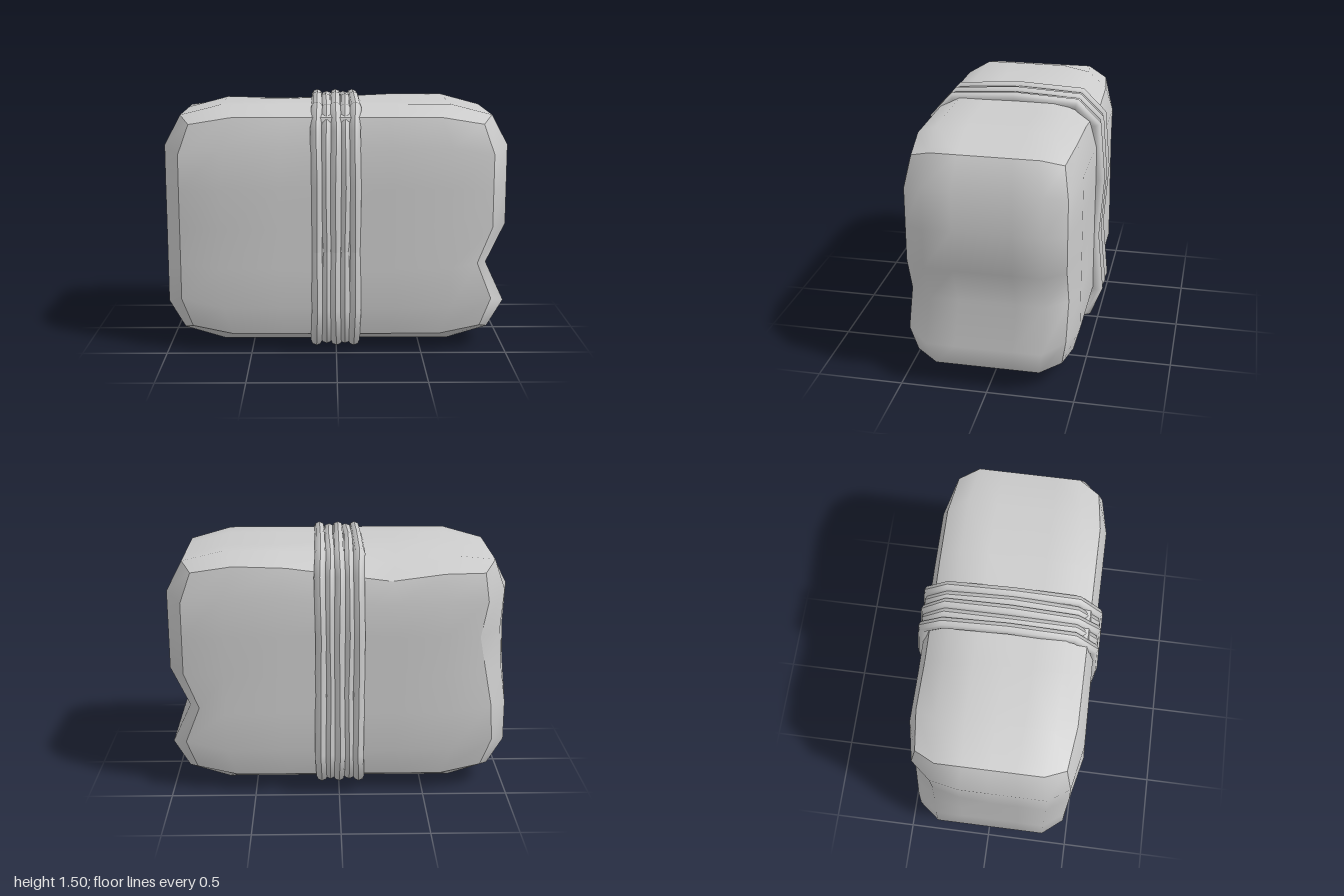
import * as THREE from 'three';

const HALF = [1, 0.705, 0.495];
const CENTRE = [0, 0.755, 0.015];

// Local pushes: centre in unit-cube coordinates, reach, and offset
const DENTS = [
  { at: [-1, 0.33, -1], reach: 0.75, push: [0.09, 0, 0] },
  { at: [-0.33, 1, -1], reach: 0.75, push: [0, -0.09, 0] },
  { at: [-0.67, 0.33, 1], reach: 0.6, push: [0, 0, 0.02] },
];

// Outline of the binding seen from the side, as [z, y]
const LOOP = [
  [0.53, 0.62], [0.55, 1.0], [0.535, 1.33], [0.4, 1.48], [0.02, 1.505], [-0.36, 1.485],
  [-0.5, 1.35], [-0.53, 1.0], [-0.505, 0.63], [-0.54, 0.27], [-0.465, 0.08],
  [-0.18, 0.005], [0.2, 0.005], [0.475, 0.045], [0.55, 0.27],
];

// Block: each face bulges, edges and corners are drawn in
function blockGeometry() {
  const geo = new THREE.BoxGeometry(2, 2, 2, 6, 6, 6);
  const pos = geo.attributes.position;
  for (let i = 0; i < pos.count; i++) {
    const c = [pos.getX(i), pos.getY(i), pos.getZ(i)];
    const extremes = c.filter((v) => Math.abs(v) > 0.99).length;
    const scale = [1, 1, 0.91, 0.85][extremes];
    const p = c.map((v, k) => CENTRE[k] + v * scale * HALF[k]);
    // Notch across the left end
    if (c[0] > 0.99 && Math.abs(c[1] + 1 / 3) < 0.01) p[0] -= extremes > 1 ? 0.085 : 0.11;
    for (const { at, reach, push } of DENTS) {
      const d = Math.hypot(c[0] - at[0], c[1] - at[1], c[2] - at[2]);
      const w = Math.max(0, 1 - d / reach);
      push.forEach((v, k) => { p[k] += v * w; });
    }
    pos.setXYZ(i, ...p);
  }
  geo.computeVertexNormals();
  return geo;
}

// Cord: a torus whose ring is moved onto the angular outline
function cordGeometry(x, radius, index) {
  const n = LOOP.length;
  const sides = 8;
  const geo = new THREE.TorusGeometry(1, radius, sides, n);
  const pos = geo.attributes.position;
  const uv = geo.attributes.uv;
  for (let i = 0; i < pos.count; i++) {
    const k = Math.round(uv.getX(i) * n) % n;
    const out = Math.hypot(pos.getX(i), pos.getY(i)) - 1;
    const side = pos.getZ(i);
    const a = LOOP[(k + n - 1) % n];
    const b = LOOP[(k + 1) % n];
    const len = Math.hypot(b[0] - a[0], b[1] - a[1]);
    const nz = (b[1] - a[1]) / len;
    const ny = -(b[0] - a[0]) / len;
    const inset = radius + (index % 2) * 0.012;
    const sway = 0.004 * Math.sin(k * 2.3 + index * 1.7);
    pos.setXYZ(i, x + side + sway, LOOP[k][1] + ny * (out - inset), LOOP[k][0] + nz * (out - inset));
  }
  geo.computeVertexNormals();
  return geo;
}

export function createModel() {
  const model = new THREE.Group();
  const material = new THREE.MeshStandardMaterial({ color: 0xcccccc, side: THREE.DoubleSide });

  const block = new THREE.Mesh(blockGeometry(), material);
  block.name = 'block';
  model.add(block);

  // Five cords side by side round the middle
  const binding = new THREE.Group();
  binding.name = 'binding';
  for (let i = 0; i < 5; i++) {
    const cord = new THREE.Mesh(cordGeometry(-0.113 + i * 0.055, 0.034, i), material);
    cord.name = 'cord' + (i + 1);
    binding.add(cord);
  }
  model.add(binding);
  return model;
}
